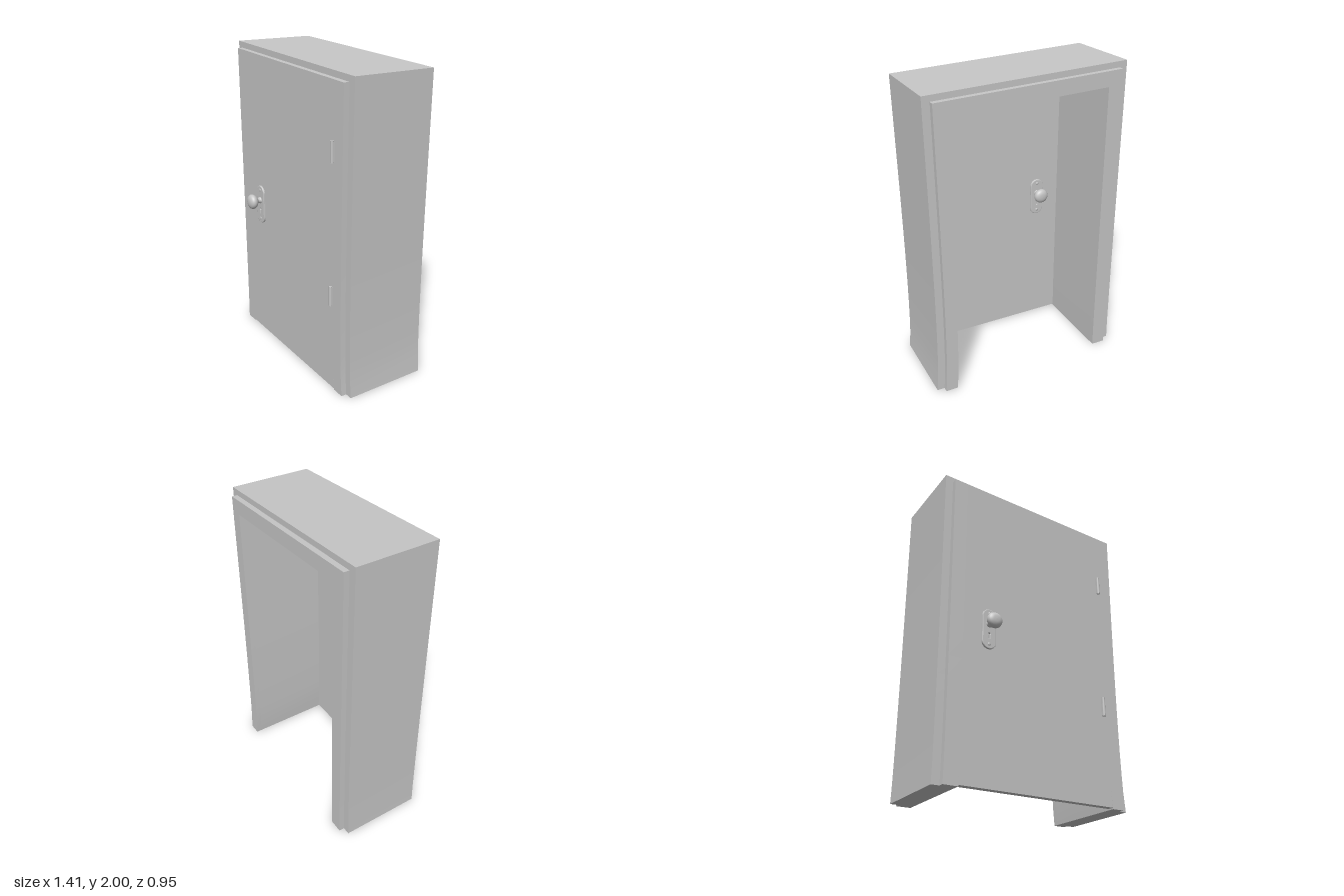
import * as THREE from 'three';

const grey = new THREE.MeshStandardMaterial({ color: 0xc6c6c6 });
grey.name = 'plain grey';

// Crooked carpentry: the head slopes down to one side and the uprights pinch inward.
function warp(geometry) {
  const p = geometry.attributes.position;
  for (let i = 0; i < p.count; i++) {
    const x = p.getX(i), y = p.getY(i);
    const bend = Math.sin(Math.PI * Math.pow(Math.min(1, Math.max(0, y / 1.9725)), 0.57));
    p.setX(i, x - bend * (0.006 + 0.016 * x));
    p.setY(i, y * (1 - 0.0214 * x));
  }
  geometry.computeVertexNormals();
  return geometry;
}

function add(parent, name, geometry) {
  const mesh = new THREE.Mesh(geometry, grey);
  mesh.name = name;
  parent.add(mesh);
  return mesh;
}

// Warped block given by its limits along each axis
function block(parent, name, x0, x1, y0, y1, z0, z1) {
  const g = new THREE.BoxGeometry(x1 - x0, y1 - y0, z1 - z0, 1, 16, 1);
  g.translate((x0 + x1) / 2, (y0 + y1) / 2, (z0 + z1) / 2);
  return add(parent, name, warp(g));
}

// Three-sided surround: two uprights and a head
function surround(parent, name, left, right, top, z0, z1) {
  block(parent, name + 'PostA', left, OPEN_L, 0, top, z0, z1);
  block(parent, name + 'PostB', OPEN_R, right, 0, top, z0, z1);
  block(parent, name + 'Head', OPEN_L, OPEN_R, OPEN_TOP, top, z0, z1);
}

const OPEN_L = -0.51, OPEN_R = 0.525, OPEN_TOP = 1.84;

// Rounded plate outline, keyhole cut-out, screws and a mushroom knob
function handle() {
  const group = new THREE.Group();
  group.name = 'doorHandle';

  const r = 0.042, h = 0.082;
  const outline = new THREE.Shape();
  outline.absarc(0, h, r, 0, Math.PI);
  outline.absarc(0, -h, r, Math.PI, Math.PI * 2);
  outline.closePath();
  const keyhole = new THREE.Path();
  keyhole.absarc(0, -0.033, 0.011, -Math.PI * 0.3, Math.PI * 1.3);
  keyhole.lineTo(-0.007, -0.065);
  keyhole.lineTo(0.007, -0.065);
  keyhole.closePath();
  outline.holes.push(keyhole);
  add(group, 'handlePlate', new THREE.ExtrudeGeometry(outline, {
    depth: 0.008, bevelThickness: 0.004, bevelSize: 0.005, bevelSegments: 2, curveSegments: 16,
  }));

  for (const y of [0.1, -0.1]) {
    const screw = add(group, 'plateScrew', new THREE.SphereGeometry(0.011, 16, 8));
    screw.position.set(0, y, 0.011);
    screw.scale.z = 0.4;
  }

  const profile = new THREE.SplineCurve([
    [0.024, 0.008], [0.019, 0.022], [0.021, 0.036], [0.04, 0.05],
    [0.049, 0.068], [0.043, 0.086], [0.024, 0.097], [0, 0.1],
  ].map(([x, y]) => new THREE.Vector2(x, y)));
  const points = profile.getPoints(28);
  points[28].x = 0;
  const knob = add(group, 'knob', new THREE.LatheGeometry(points, 32));
  knob.rotation.x = Math.PI / 2;
  knob.position.y = 0.03;
  return group;
}

export function createModel() {
  const model = new THREE.Group();
  model.name = 'doorway';
  const body = new THREE.Group();
  body.name = 'crookedDoorway';
  body.rotation.y = -0.316;
  model.add(body);

  // Deep wall lining and the casing on both faces
  surround(body, 'frame', -0.652, 0.652, 1.9725, -0.267, 0.267);
  surround(body, 'frontCasing', -0.602, 0.604, 1.935, 0.267, 0.302);
  surround(body, 'backCasing', -0.602, 0.604, 1.935, -0.302, -0.267);

  // Door leaf, flush with the front casing
  block(body, 'door', OPEN_L, OPEN_R, 0.008, OPEN_TOP, 0.26, 0.302);

  // Handles on both faces of the door
  const front = handle();
  front.position.set(-0.344, 0.96, 0.302);
  const back = handle();
  back.position.set(-0.344, 0.96, 0.26);
  back.rotation.y = Math.PI;
  body.add(front, back);

  // Hinge barrels with narrow leaves
  for (const [x, y] of [[0.507, 1.52], [0.493, 0.637]]) {
    const hinge = new THREE.Group();
    hinge.name = 'hinge';
    hinge.position.set(x, y, 0.302);
    const barrel = add(hinge, 'hingeBarrel', new THREE.CylinderGeometry(0.01, 0.01, 0.125, 16));
    barrel.position.z = 0.008;
    const leaf = add(hinge, 'hingeLeaf', new THREE.BoxGeometry(0.024, 0.115, 0.008));
    leaf.position.z = 0.004;
    body.add(hinge);
  }
  return model;
}
